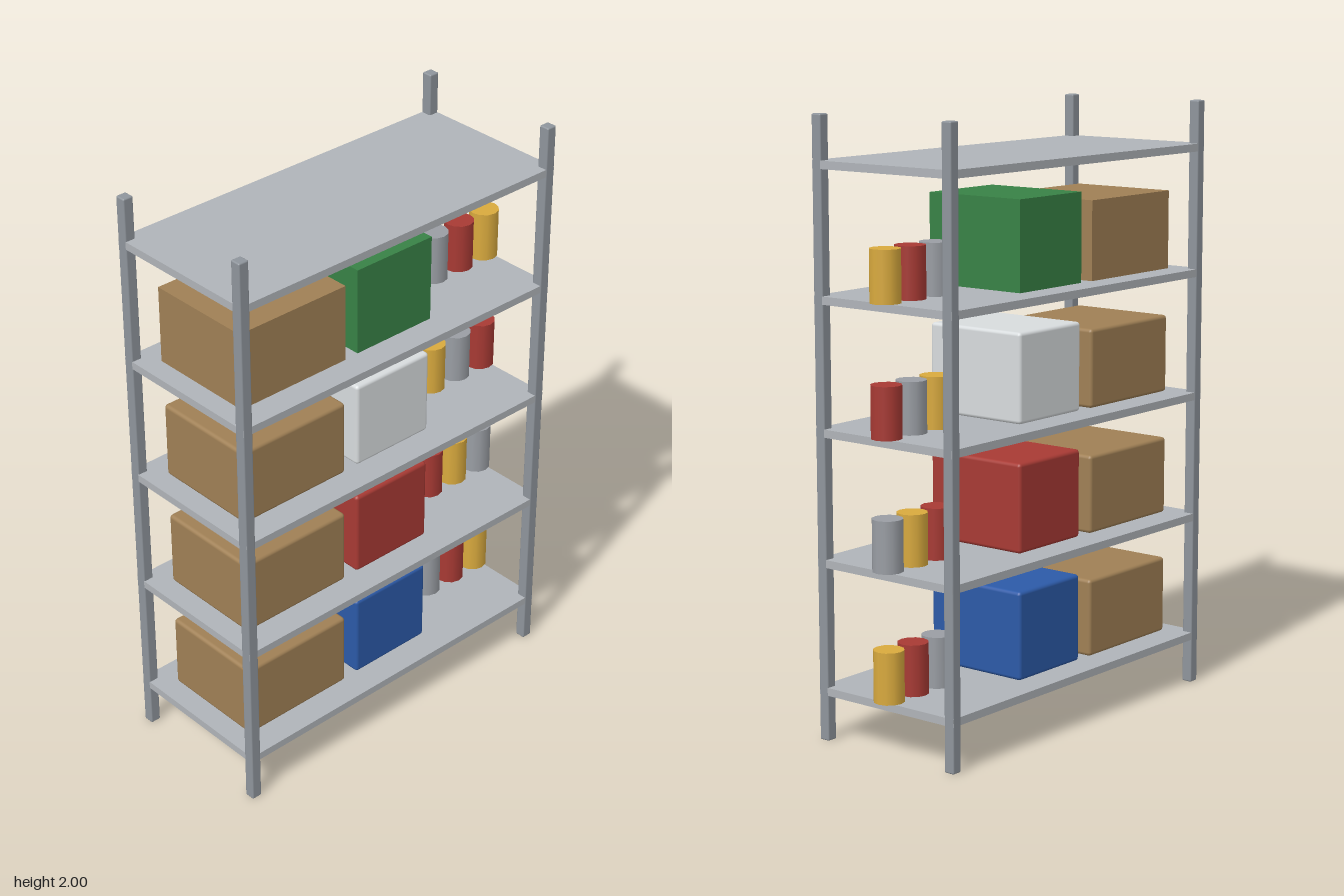
import * as THREE from 'three';
import { RoundedBoxGeometry } from 'three/addons/geometries/RoundedBoxGeometry.js';

const paint = (color) => new THREE.MeshStandardMaterial({ color });
const MAT = {
  post: paint(0x8f959c),
  shelf: paint(0xb0b4b9),
  brown: paint(0xa08055),
  blue: paint(0x2c5aa8),
  red: paint(0xa83a34),
  white: paint(0xd8dcde),
  green: paint(0x388246),
  grey: paint(0x9a9ea4),
  yellow: paint(0xd9aa3e),
};

const CENTER_X = -0.016;
const SHELF_BOTTOM = 0.151, SHELF_STEP = 0.42, SHELF_THICK = 0.026;
const POST = 0.037;

function add(parent, name, geometry, material, x, y, z) {
  const mesh = new THREE.Mesh(geometry, material);
  mesh.name = name;
  mesh.position.set(x, y, z);
  parent.add(mesh);
}

export function createModel() {
  const model = new THREE.Group();
  model.name = 'storageRack';

  // Four corner posts with softened edges
  const postGeo = new RoundedBoxGeometry(POST, 2, POST, 2, 0.005);
  for (const sx of [-1, 1])
    for (const sz of [-1, 1])
      add(model, 'post', postGeo, MAT.post, CENTER_X + sx * 0.632, 1, sz * 0.2625);

  // Five shelf boards, almost flush with the outside of the posts
  const shelfGeo = new THREE.BoxGeometry(1.299, SHELF_THICK, 0.56);
  for (let i = 0; i < 5; i++)
    add(model, 'shelf', shelfGeo, MAT.shelf, CENTER_X, SHELF_BOTTOM + i * SHELF_STEP + SHELF_THICK / 2, 0);

  // Goods on the four lower shelves: a carton, a coloured bin and three cans
  const levels = [
    { bin: 'blue', cans: ['grey', 'red', 'yellow'] },
    { bin: 'red', cans: ['red', 'yellow', 'grey'] },
    { bin: 'white', cans: ['yellow', 'grey', 'red'] },
    { bin: 'green', cans: ['grey', 'red', 'yellow'], sharp: true },
  ];
  const block = (w, h, d, sharp) =>
    sharp ? new THREE.BoxGeometry(w, h, d) : new RoundedBoxGeometry(w, h, d, 2, 0.012);
  const canGeo = new THREE.CylinderGeometry(0.05, 0.05, 0.168, 12);

  levels.forEach(({ bin, cans, sharp }, i) => {
    const goods = new THREE.Group();
    goods.name = 'shelfGoods';
    goods.position.y = SHELF_BOTTOM + SHELF_THICK + i * SHELF_STEP;
    add(goods, 'carton', block(0.422, 0.262, 0.378, sharp), MAT.brown, -0.384, 0.131, 0);
    add(goods, 'bin', block(0.313, 0.294, 0.372, sharp), MAT[bin], 0.036, 0.147, 0);
    cans.forEach((c, k) => add(goods, 'can', canGeo, MAT[c], 0.384 + k * 0.115, 0.084, 0));
    model.add(goods);
  });

  return model;
}
